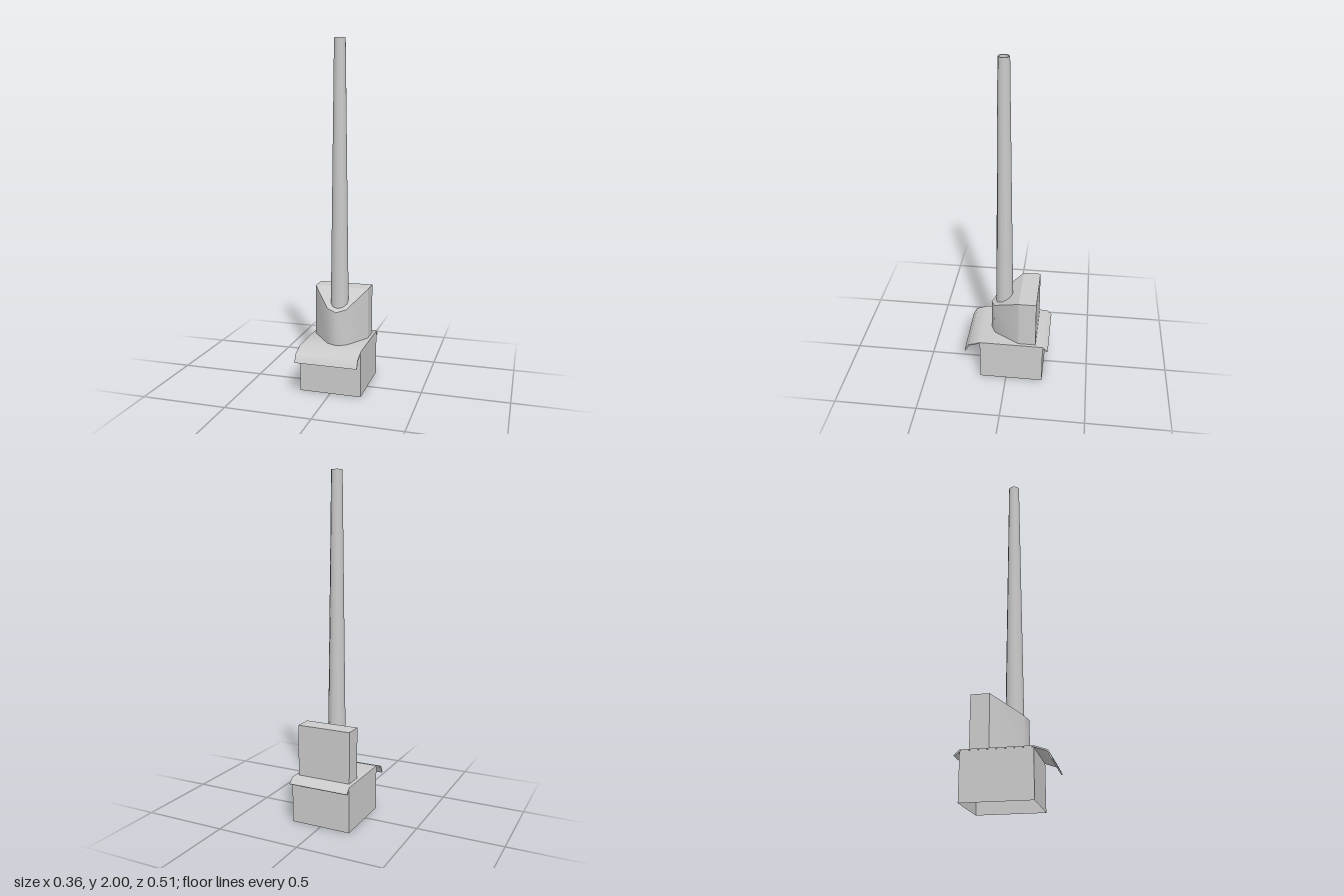
import * as THREE from 'three';
import { toCreasedNormals } from 'three/addons/utils/BufferGeometryUtils.js';

const material = new THREE.MeshStandardMaterial({ color: 0xcccccc, side: THREE.DoubleSide });
const flat = material.clone();
flat.flatShading = true;

function add(parent, name, geometry, mat = material) {
  const mesh = new THREE.Mesh(geometry, mat);
  mesh.name = name;
  parent.add(mesh);
  return mesh;
}

const outline = (points) => new THREE.Shape(points.map(([x, y]) => new THREE.Vector2(x, y)));

export function createModel() {
  const model = new THREE.Group();
  model.name = 'chimneyHouse';

  // Four walls, open underneath
  const walls = new THREE.CylinderGeometry(Math.SQRT1_2, Math.SQRT1_2, 1, 4, 1, true);
  walls.rotateY(Math.PI / 4).scale(0.36, 0.264, 0.385).translate(0, 0.132, -0.0325);
  add(model, 'walls', walls, flat);

  // Thin roof sheet with drooping eaves: profile as (z, y), swept across x
  const roofProfile = outline([
    [0.255, 0.2], [0.232, 0.245], [0.16, 0.27], [-0.225, 0.27], [-0.257, 0.24],
    [-0.252, 0.235], [-0.222, 0.263], [0.157, 0.263], [0.226, 0.239], [0.247, 0.197],
  ]);
  const roof = new THREE.ExtrudeGeometry(roofProfile, { depth: 0.363, bevelEnabled: false });
  roof.rotateY(-Math.PI / 2).translate(0.1815, 0, 0);
  add(model, 'roof', toCreasedNormals(roof, 0.9));

  // Chimney breast: rectangular rear block
  const bottom = 0.265, top = 0.57, crease = -0.075;
  const rear = new THREE.BoxGeometry(0.323, top - bottom, 0.105);
  rear.translate(0.0015, (top + bottom) / 2, crease - 0.0525);
  add(model, 'breastRear', rear);

  // Chimney breast: tapered front with its top sloping down toward +z
  const plan = outline([
    [-0.16, 0.075], [-0.04, -0.08], [0.018, -0.105], [0.073, -0.08], [0.163, 0.075],
  ]);
  const front = new THREE.ExtrudeGeometry(plan, { depth: top - bottom, bevelEnabled: false });
  front.rotateX(-Math.PI / 2).translate(0, bottom, 0);
  const p = front.attributes.position;
  for (let i = 0; i < p.count; i++) {
    if (p.getY(i) > 0.4) p.setY(i, top - (p.getZ(i) - crease) * 0.583);
  }
  add(model, 'breastFront', toCreasedNormals(front, 0.9));

  // Tall tapering ten-sided stack with a hollow mouth
  const stack = new THREE.Group();
  stack.name = 'stack';
  stack.position.set(0.018, 0, 0.024);
  model.add(stack);
  const sides = 10, base = 0.46;
  add(stack, 'stackOuter', new THREE.CylinderGeometry(0.032, 0.052, 2 - base, sides, 1, true)
    .translate(0, (2 + base) / 2, 0));
  add(stack, 'stackRim', new THREE.RingGeometry(0.025, 0.032, sides, 1, Math.PI / 2)
    .rotateX(-Math.PI / 2).rotateY(Math.PI));
  stack.children[1].position.y = 2;
  add(stack, 'stackInner', new THREE.CylinderGeometry(0.025, 0.02, 0.12, sides, 1, true)
    .translate(0, 1.94, 0));
  add(stack, 'stackFloor', new THREE.CircleGeometry(0.02, sides, Math.PI / 2)
    .rotateX(-Math.PI / 2).translate(0, 1.88, 0));

  return model;
}
